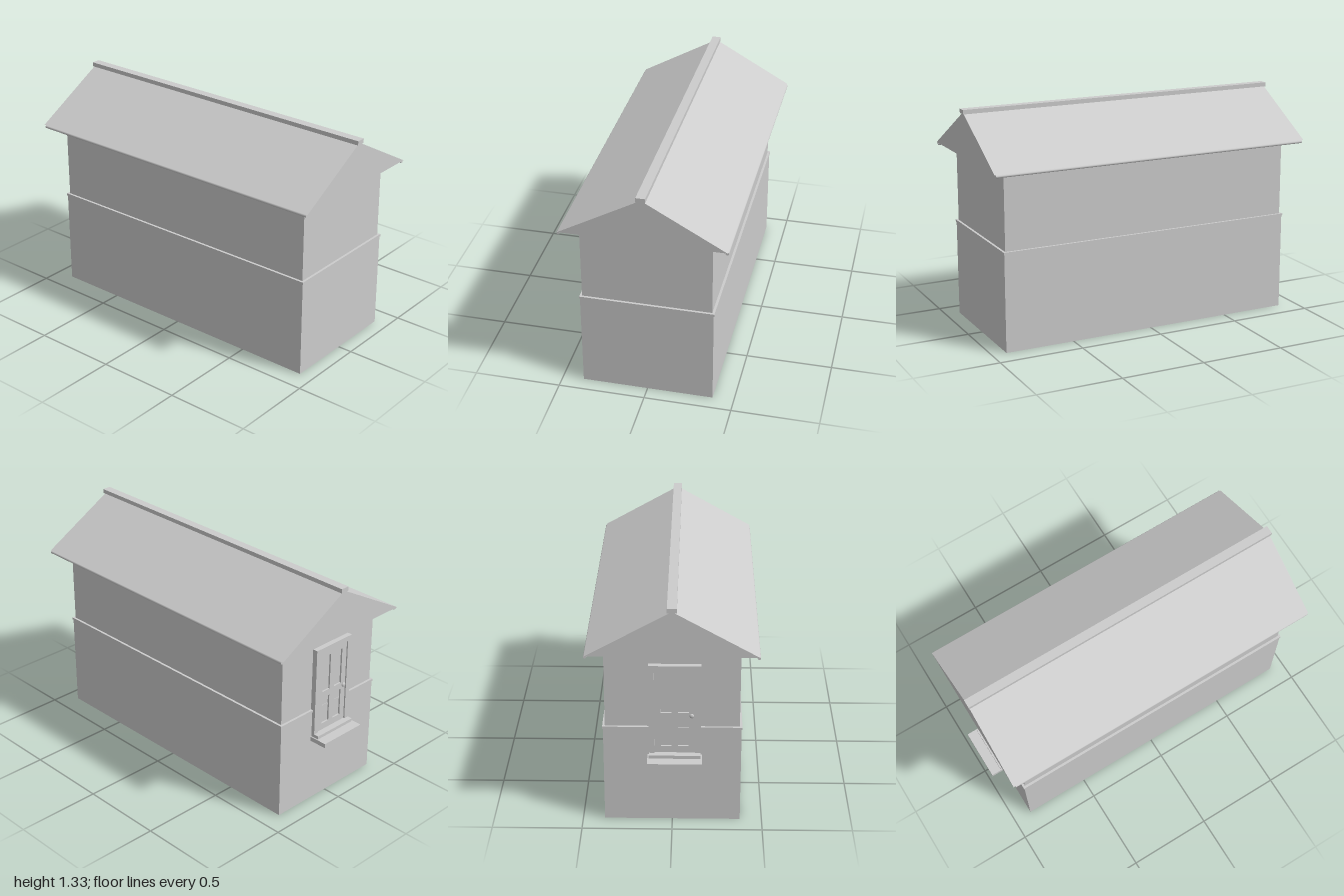
import * as THREE from 'three';

export function createModel() {
  const group = new THREE.Group();
  const grey = new THREE.MeshStandardMaterial({ color: 0xcccccc });
  grey.name = 'plain grey';

  const add = (name, geometry, parent = group) => {
    const mesh = new THREE.Mesh(geometry, grey);
    mesh.name = name;
    parent.add(mesh);
    return mesh;
  };
  // box given by its lower and upper limits on each axis
  const box = (name, x0, x1, y0, y1, z0, z1, parent) =>
    add(name, new THREE.BoxGeometry(x1 - x0, y1 - y0, z1 - z0)
      .translate((x0 + x1) / 2, (y0 + y1) / 2, (z0 + z1) / 2), parent);

  // walls, with a thin ledge between the storeys
  box('lowerWalls', -0.378, 0.378, 0, 0.575, -0.89, 0.914);
  box('wallLedge', -0.382, 0.382, 0.573, 0.587, -0.894, 0.918);
  box('upperWalls', -0.368, 0.368, 0.587, 1.05, -0.88, 0.904);

  // solid gable roof
  const gable = new THREE.Shape();
  gable.moveTo(-0.463, 1.05);
  gable.lineTo(0.463, 1.05);
  gable.lineTo(0, 1.31);
  gable.closePath();
  add('roof', new THREE.ExtrudeGeometry(gable, { depth: 1.965, bevelEnabled: false })
    .translate(0, 0, -0.973));
  box('ridgeCap', -0.026, 0.026, 1.303, 1.328, -0.977, 1.0);

  // round gutters below the eaves
  for (const side of [-1, 1]) {
    add(side > 0 ? 'leftGutter' : 'rightGutter',
      new THREE.CylinderGeometry(0.009, 0.009, 1.945, 12).rotateX(Math.PI / 2))
      .position.set(side * 0.459, 1.041, 0.012);
  }

  // back door, centred slightly to one side
  const door = new THREE.Group();
  door.name = 'backDoor';
  door.position.x = -0.014;
  group.add(door);

  // frame
  box('frameTop', -0.142, 0.142, 0.935, 0.965, -0.91, -0.87, door);
  for (const s of [-1, 1]) {
    box('frameSide', s * 0.127 - 0.015, s * 0.127 + 0.015, 0.41, 0.935, -0.91, -0.87, door);
  }
  // door leaf: recessed panels behind stiles and rails
  box('doorPanels', -0.112, 0.112, 0.41, 0.935, -0.892, -0.87, door);
  for (const x of [-0.094, 0, 0.094]) {
    box('doorStile', x - 0.018, x + 0.018, 0.43, 0.935, -0.902, -0.88, door);
  }
  for (const [y0, y1] of [[0.43, 0.475], [0.64, 0.68], [0.9, 0.935]]) {
    for (const s of [-1, 1]) {
      box('doorRail', s * 0.047 - 0.029, s * 0.047 + 0.029, y0, y1, -0.902, -0.88, door);
    }
  }
  // knob on a short stem
  add('knobStem', new THREE.CylinderGeometry(0.006, 0.006, 0.012, 12).rotateX(Math.PI / 2), door)
    .position.set(-0.092, 0.665, -0.903);
  add('knob', new THREE.SphereGeometry(0.013, 16, 12).scale(1, 1, 0.55), door)
    .position.set(-0.092, 0.665, -0.909);
  // sill and step
  box('sill', -0.142, 0.142, 0.413, 0.435, -0.94, -0.88, door);
  box('step', -0.15, 0.15, 0.39, 0.416, -1.0, -0.88, door);

  return group;
}
